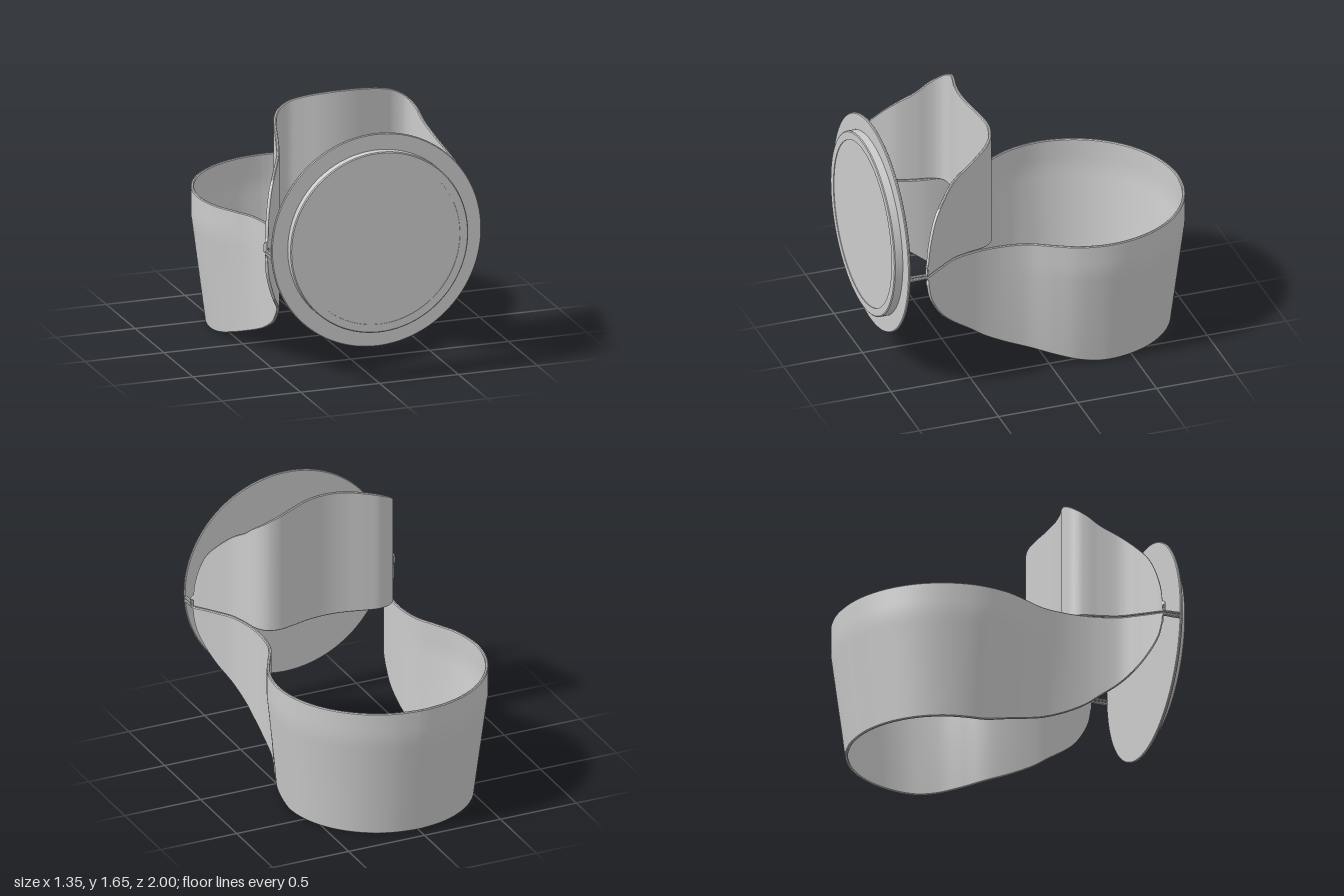
import * as THREE from 'three';
import { toCreasedNormals } from 'three/addons/utils/BufferGeometryUtils.js';

const material = new THREE.MeshStandardMaterial({ color: 0xcccccc, side: THREE.DoubleSide });
const THICK = 0.018;

// Mirror a half path (+x side, ending near the middle) into a full path of [x, edgeHeight, z]
function mirrored(half, middle) {
  const toVec = (p) => new THREE.Vector3(...p);
  const other = half.map(([x, y, z]) => [-x, y, z]).reverse();
  return new THREE.CatmullRomCurve3([...half, middle, ...other].map(toVec), false, 'centripetal');
}

// Thin wall that follows the path in plan, between a level edge and the path's own height
function wall(curve, level, inset, name) {
  const path = curve.getPoints(320), rows = 14, pos = [], idx = [];
  const n = path.length;
  path.forEach((p, i) => {
    const a = path[Math.max(i - 1, 0)], b = path[Math.min(i + 1, n - 1)];
    const dx = b.x - a.x, dz = b.z - a.z, len = Math.hypot(dx, dz) || 1;
    const nx = dz / len, nz = -dx / len; // points inward
    const lo = Math.min(level, p.y), hi = Math.max(level, p.y);
    const bevel = 0.005;
    const put = (y, d) => {
      const o = d + inset(y, p.z);
      pos.push(p.x + nx * o, y, p.z + nz * o);
    };
    // outer face upward, then inner face downward, with small edge bevels
    put(lo, bevel);
    for (let k = 0; k <= rows; k++) put(lo + bevel + (hi - lo - 2 * bevel) * k / rows, 0);
    put(hi, bevel);
    put(hi, THICK - bevel);
    for (let k = rows; k >= 0; k--) put(lo + bevel + (hi - lo - 2 * bevel) * k / rows, THICK);
    put(lo, THICK - bevel);
  });
  const m = 2 * (rows + 3);
  for (let i = 0; i < n - 1; i++) {
    for (let j = 0; j < m; j++) {
      const a = i * m + j, b = i * m + (j + 1) % m;
      idx.push(a, a + m, b + m, a, b + m, b);
    }
  }
  const g = new THREE.BufferGeometry();
  g.setAttribute('position', new THREE.Float32BufferAttribute(pos, 3));
  g.setIndex(idx);
  const mesh = new THREE.Mesh(toCreasedNormals(g, 0.6), material);
  mesh.name = name;
  return mesh;
}

export function createModel() {
  const model = new THREE.Group();
  model.name = 'collarWithDisc';

  // Lower band: horseshoe loop, tapering toward its bottom, cut away toward the front
  const lower = [
    [0.662, 0.818, 0.94], [0.662, 0.818, 0.88], [0.662, 0.815, 0.825],
    [0.658, 0.76, 0.815], [0.645, 0.68, 0.797], [0.617, 0.6, 0.76],
    [0.57, 0.5, 0.695], [0.508, 0.4, 0.6], [0.474, 0.31, 0.48], [0.463, 0.25, 0.4],
    [0.464, 0.18, 0.27], [0.492, 0.12, 0.13], [0.56, 0.07, 0], [0.625, 0.03, -0.13],
    [0.657, 0.005, -0.26],
  ];
  for (let a = 0; a < 85; a += 12) {
    const t = THREE.MathUtils.degToRad(a + 3);
    lower.push([0.664 * Math.cos(t), 0, -0.336 - 0.664 * Math.sin(t)]);
  }
  const taper = (y, z) => 0.085 * THREE.MathUtils.clamp((0.66 - y) / 0.66, 0, 1)
    * (1 - THREE.MathUtils.smoothstep(z, -0.3, 0.35));
  model.add(wall(mirrored(lower, [0, 0, -1]), 0.836, taper, 'lowerBand'));

  // Upper band: waisted sides and a shallow curved back, its top sloping down to the front
  const upper = [
    [0.662, 0.856, 0.94], [0.662, 0.856, 0.88], [0.662, 0.86, 0.825],
    [0.659, 0.92, 0.82], [0.654, 1.0, 0.811], [0.638, 1.1, 0.788], [0.61, 1.2, 0.75],
    [0.567, 1.28, 0.69], [0.508, 1.37, 0.6], [0.474, 1.44, 0.49], [0.46, 1.495, 0.42],
    [0.44, 1.53, 0.37], [0.4, 1.565, 0.33], [0.33, 1.598, 0.313], [0.25, 1.62, 0.327],
    [0.12, 1.642, 0.36],
  ];
  model.add(wall(mirrored(upper, [0, 1.648, 0.372]), 0.841, () => 0, 'upperBand'));

  // Front disc: thin flange with a raised boss and a shallow recessed face
  const profile = [
    [0, 0.932], [0.66, 0.932], [0.665, 0.936], [0.665, 0.943], [0.66, 0.948],
    [0.563, 0.948], [0.563, 0.995], [0.557, 1], [0.51, 1], [0.51, 0.996], [0, 0.996],
  ].map(([r, h]) => new THREE.Vector2(r, h));
  const discGeometry = toCreasedNormals(new THREE.LatheGeometry(profile, 128), 0.5);
  discGeometry.rotateX(Math.PI / 2);
  const disc = new THREE.Mesh(discGeometry, material);
  disc.position.y = 0.88;
  disc.name = 'frontDisc';
  model.add(disc);

  return model;
}
